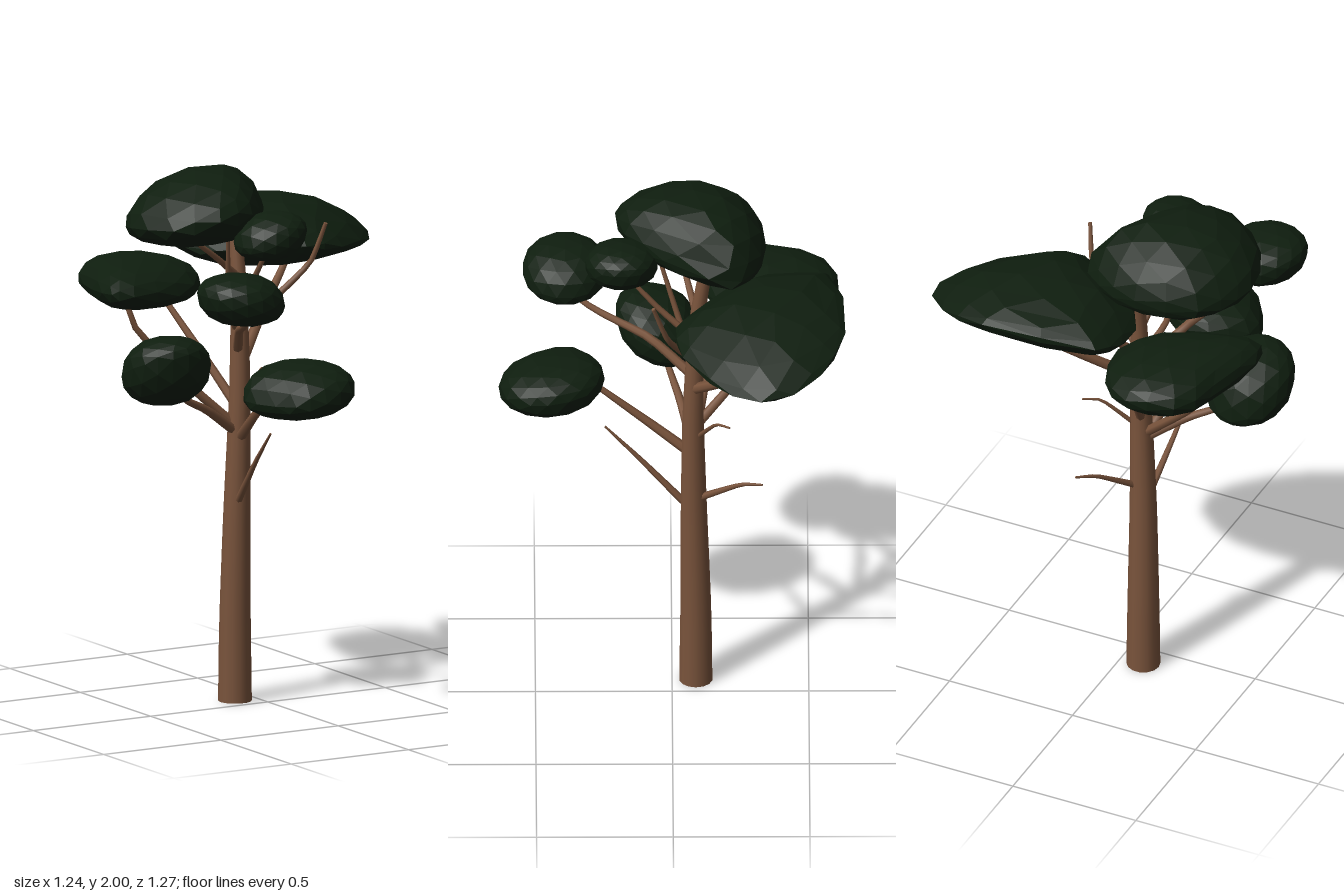
import * as THREE from 'three';

const bark = new THREE.MeshStandardMaterial({ color: 0x7a543c });
const leaf = new THREE.MeshStandardMaterial({ color: 0x0f1e0f, flatShading: true });
const V = (p) => new THREE.Vector3(...p);

// Tapered limb: a tube whose rings shrink along the path, closed at both ends
function limb(name, points, r0, r1, sides, steps) {
  const group = new THREE.Group();
  group.name = name;
  const curve = new THREE.CatmullRomCurve3(points.map(V), false, 'catmullrom', 0.25);
  const geo = new THREE.TubeGeometry(curve, steps, r0, sides);
  const pos = geo.attributes.position;
  const v = new THREE.Vector3();
  for (let i = 0; i <= steps; i++) {
    const c = curve.getPointAt(i / steps);
    const k = THREE.MathUtils.lerp(1, r1 / r0, Math.pow(i / steps, 1.25));
    for (let j = 0; j <= sides; j++) {
      const n = i * (sides + 1) + j;
      v.fromBufferAttribute(pos, n).sub(c).multiplyScalar(k).add(c);
      pos.setXYZ(n, v.x, v.y, v.z);
    }
  }
  group.add(new THREE.Mesh(geo, bark));
  for (const [t, r, s] of [[0, r0, -1], [1, r1, 1]]) {
    const cap = new THREE.Mesh(new THREE.CircleGeometry(r, sides), bark);
    const p = curve.getPointAt(t);
    cap.position.copy(p);
    cap.lookAt(p.clone().addScaledVector(curve.getTangentAt(t), s));
    group.add(cap);
  }
  return group;
}

// Foliage clump: a faceted ball stretched between a rim loop, a crown and an underside point
function clump(name, rim, crown, under, powerUp = 1, powerDown = 1) {
  const loop = new THREE.CatmullRomCurve3(rim.map(V), true);
  const top = V(crown), bottom = V(under);
  const geo = new THREE.IcosahedronGeometry(1, 2);
  const pos = geo.attributes.position;
  const v = new THREE.Vector3();
  for (let i = 0; i < pos.count; i++) {
    v.fromBufferAttribute(pos, i);
    const turn = (Math.atan2(v.z, v.x) / (2 * Math.PI) + 1) % 1;
    const edge = loop.getPoint(turn);
    const pole = v.y > 0 ? top : bottom;
    const out = Math.pow(Math.min(1, Math.hypot(v.x, v.z)), 0.9);
    const rise = Math.pow(Math.min(1, Math.abs(v.y)), v.y > 0 ? powerUp : powerDown);
    pos.setXYZ(i,
      THREE.MathUtils.lerp(pole.x, edge.x, out),
      THREE.MathUtils.lerp(edge.y, pole.y, rise),
      THREE.MathUtils.lerp(pole.z, edge.z, out));
  }
  geo.computeVertexNormals();
  const mesh = new THREE.Mesh(geo, leaf);
  mesh.name = name;
  return mesh;
}

// Small oval clump with a rim sloping along x and z, its crown leaning to the high side
function ovalClump(name, [x, y, z], [rx, ry, rz], slopeX, slopeZ) {
  const rim = [];
  for (let i = 0; i < 9; i++) {
    const a = (i / 9) * Math.PI * 2;
    const dx = Math.cos(a) * rx, dz = Math.sin(a) * rz;
    rim.push([x + dx, y + dx * slopeX + dz * slopeZ, z + dz]);
  }
  const lx = slopeX * 0.12, lz = slopeZ * 0.12;
  return clump(name, rim, [x + lx, y + ry, z + lz], [x - lx, y - ry, z - lz], 0.88, 0.88);
}

export function createModel() {
  const tree = new THREE.Group();
  tree.name = 'tree';

  // Trunk
  tree.add(limb('trunk', [
    [-0.088, 0, -0.087], [-0.088, 0.3, -0.087], [-0.084, 0.72, -0.08],
    [-0.073, 1.15, -0.077], [-0.07, 1.55, -0.09], [-0.068, 1.82, -0.13],
  ], 0.062, 0.022, 14, 16));

  // Branches carrying foliage: path, base radius
  const branches = [
    [[[-0.08, 0.98, -0.07], [-0.11, 1.09, 0.08], [-0.13, 1.26, 0.3]], 0.02],
    [[[-0.08, 1.31, -0.08], [-0.17, 1.42, 0.08], [-0.27, 1.48, 0.28], [-0.32, 1.55, 0.4]], 0.019],
    [[[-0.08, 1.0, -0.08], [-0.24, 1.11, -0.03], [-0.36, 1.17, 0.01], [-0.43, 1.25, 0.04]], 0.019],
    [[[-0.08, 1.02, -0.08], [-0.28, 1.21, -0.13], [-0.46, 1.42, -0.18], [-0.49, 1.55, -0.2]], 0.019],
    [[[-0.08, 1.1, -0.09], [-0.14, 1.29, -0.26], [-0.2, 1.46, -0.41], [-0.24, 1.53, -0.44]], 0.018],
    [[[-0.06, 1.27, -0.08], [0.12, 1.42, -0.23], [0.27, 1.54, -0.34], [0.34, 1.64, -0.4]], 0.021],
    [[[-0.06, 1.38, -0.08], [0.02, 1.52, -0.22], [0.06, 1.64, -0.29]], 0.016],
    [[[-0.06, 1.4, -0.08], [0.06, 1.51, -0.03], [0.17, 1.63, 0.02], [0.205, 1.78, 0.07]], 0.015],
    [[[-0.07, 1.47, -0.09], [-0.09, 1.6, 0.05], [-0.1, 1.75, 0.18]], 0.014],
    [[[-0.07, 1.58, -0.09], [-0.2, 1.68, -0.05], [-0.33, 1.77, -0.02]], 0.014],
    [[[-0.07, 1.36, -0.09], [-0.15, 1.5, -0.03], [-0.2, 1.76, 0.05]], 0.014],
  ];
  for (const [path, r] of branches) tree.add(limb('branch', path, r, r * 0.5, 7, 10));

  // Bare twigs
  const twigs = [
    [[-0.1, 0.76, -0.04], [-0.125, 0.93, 0.12], [-0.135, 1.06, 0.245]],
    [[-0.07, 0.79, -0.09], [0.02, 0.905, -0.25], [0.07, 0.935, -0.33]],
    [[-0.06, 1.06, -0.09], [0.045, 1.18, -0.16], [0.1, 1.2, -0.21]],
  ];
  twigs.forEach((path, i) => tree.add(limb('bareTwig', path, i < 2 ? 0.014 : 0.009, 0.004, 6, 8)));

  // Large foliage clumps
  tree.add(clump('topCanopy', [
    [0.08, 1.81, -0.215], [-0.06, 1.84, 0.06], [-0.18, 1.87, 0.18], [-0.315, 1.865, 0.21],
    [-0.455, 1.83, 0.13], [-0.53, 1.815, -0.05], [-0.5, 1.8, -0.18], [-0.4, 1.8, -0.3],
    [-0.19, 1.81, -0.345], [-0.03, 1.8, -0.31],
  ], [-0.18, 2.005, -0.09], [-0.2, 1.71, -0.24], 1.25));
  tree.add(clump('wideCanopy', [
    [0.625, 1.645, -0.38], [0.55, 1.63, -0.2], [0.325, 1.66, -0.03], [0.185, 1.68, -0.01],
    [0.035, 1.67, -0.1], [-0.15, 1.66, -0.25], [-0.17, 1.68, -0.47], [-0.12, 1.72, -0.58],
    [0.285, 1.74, -0.635], [0.485, 1.69, -0.56],
  ], [0.17, 1.815, -0.37], [0.1, 1.575, -0.28], 1.6, 1.4));
  tree.add(clump('backCanopy', [
    [-0.1, 1.55, -0.36], [-0.18, 1.53, -0.19], [-0.36, 1.53, -0.1], [-0.56, 1.56, -0.08],
    [-0.595, 1.56, -0.15], [-0.54, 1.54, -0.38], [-0.48, 1.55, -0.55], [-0.31, 1.56, -0.615],
    [-0.17, 1.55, -0.56],
  ], [-0.38, 1.645, -0.35], [-0.31, 1.455, -0.42]));

  // Small foliage clumps
  tree.add(clump('lowFrontClump', [
    [0.065, 1.28, 0.42], [0.055, 1.27, 0.53], [-0.01, 1.26, 0.61], [-0.12, 1.24, 0.635],
    [-0.22, 1.23, 0.6], [-0.3, 1.225, 0.48], [-0.33, 1.23, 0.38], [-0.25, 1.255, 0.285],
    [-0.12, 1.28, 0.245], [0.0, 1.285, 0.3],
  ], [-0.1, 1.36, 0.4], [-0.17, 1.155, 0.43], 0.9, 0.9));
  tree.add(ovalClump('sideClump', [-0.46, 1.295, 0.045], [0.165, 0.137, 0.162], -0.1, 0.45));
  tree.add(ovalClump('midFrontClump', [-0.348, 1.61, 0.39], [0.163, 0.098, 0.158], -0.18, 0));
  tree.add(ovalClump('highFrontClump', [-0.1, 1.785, 0.185], [0.135, 0.087, 0.135], 0.2, 0));
  return tree;
}
